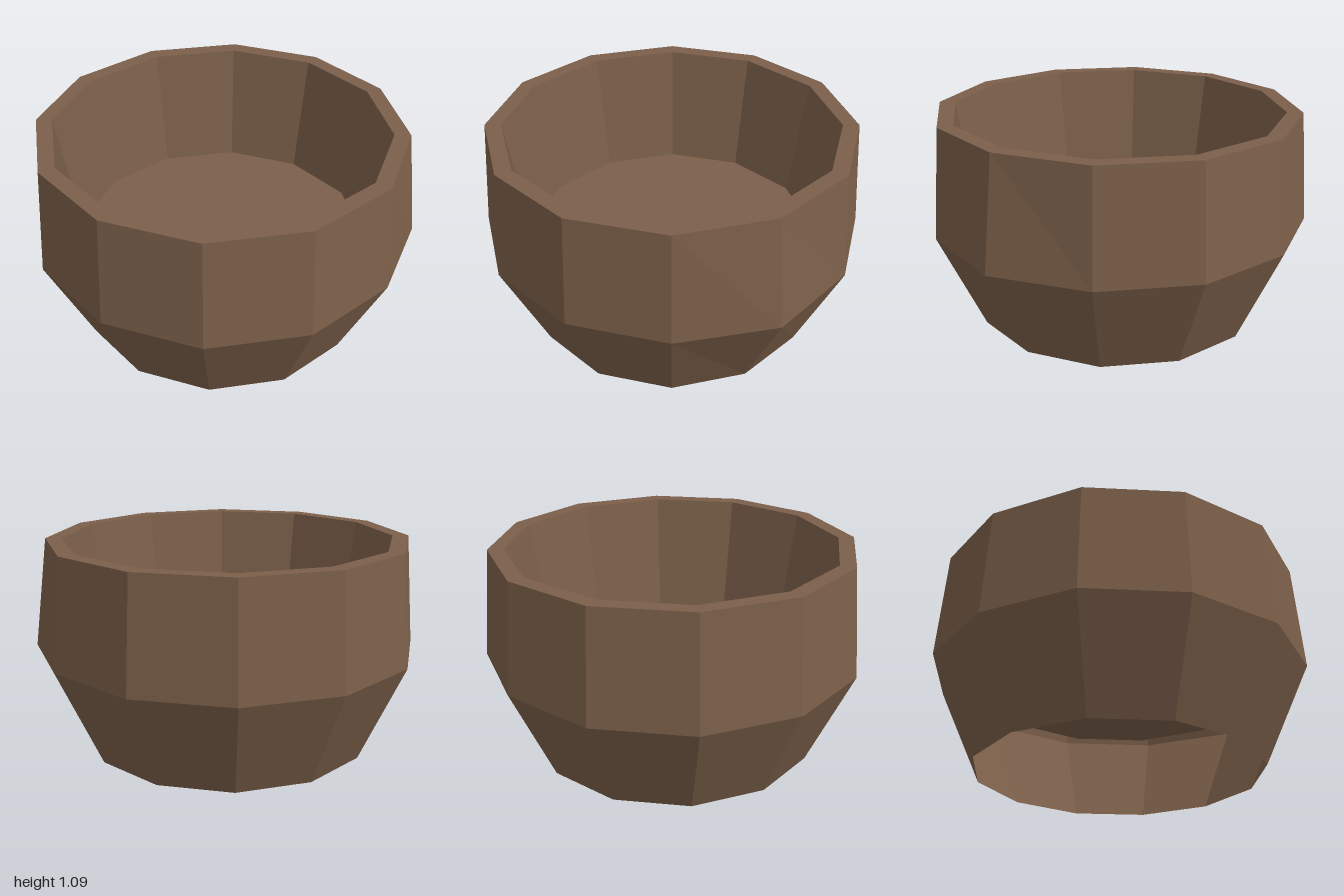
import * as THREE from 'three';

const SIDES = 12;

export function createModel() {
  const group = new THREE.Group();
  group.name = 'bowl';

  const wood = new THREE.MeshStandardMaterial({ color: 0x7c604a, flatShading: true, side: THREE.DoubleSide });
  wood.name = 'brown wood';

  // Turn a [radius, height] profile into a faceted ring; the body sits slightly towards -x
  const turned = (name, profile) => {
    const points = profile.map(([r, y]) => new THREE.Vector2(r, y));
    const geometry = new THREE.LatheGeometry(points, SIDES);
    geometry.translate(-0.015, 0, 0);
    const mesh = new THREE.Mesh(geometry, wood);
    mesh.name = name;
    group.add(mesh);
    return mesh;
  };

  // Outer wall: open foot, widest at the shoulder, slightly drawn in at the rim
  const outer = turned('outerWall', [[0.75, 0], [0.987, 0.52], [0.943, 1.09]]);
  turned('rim', [[0.943, 1.09], [0.86, 1.09]]);
  turned('innerWall', [[0.86, 1.09], [0.755, 0.465]]);
  turned('floor', [[0.755, 0.465], [0, 0.465]]);

  // One shoulder corner on the left is pulled out a little
  const position = outer.geometry.attributes.position;
  for (let i = 0; i < position.count; i++) {
    if (position.getX(i) > 0.95) position.setX(i, 1);
  }

  return group;
}
